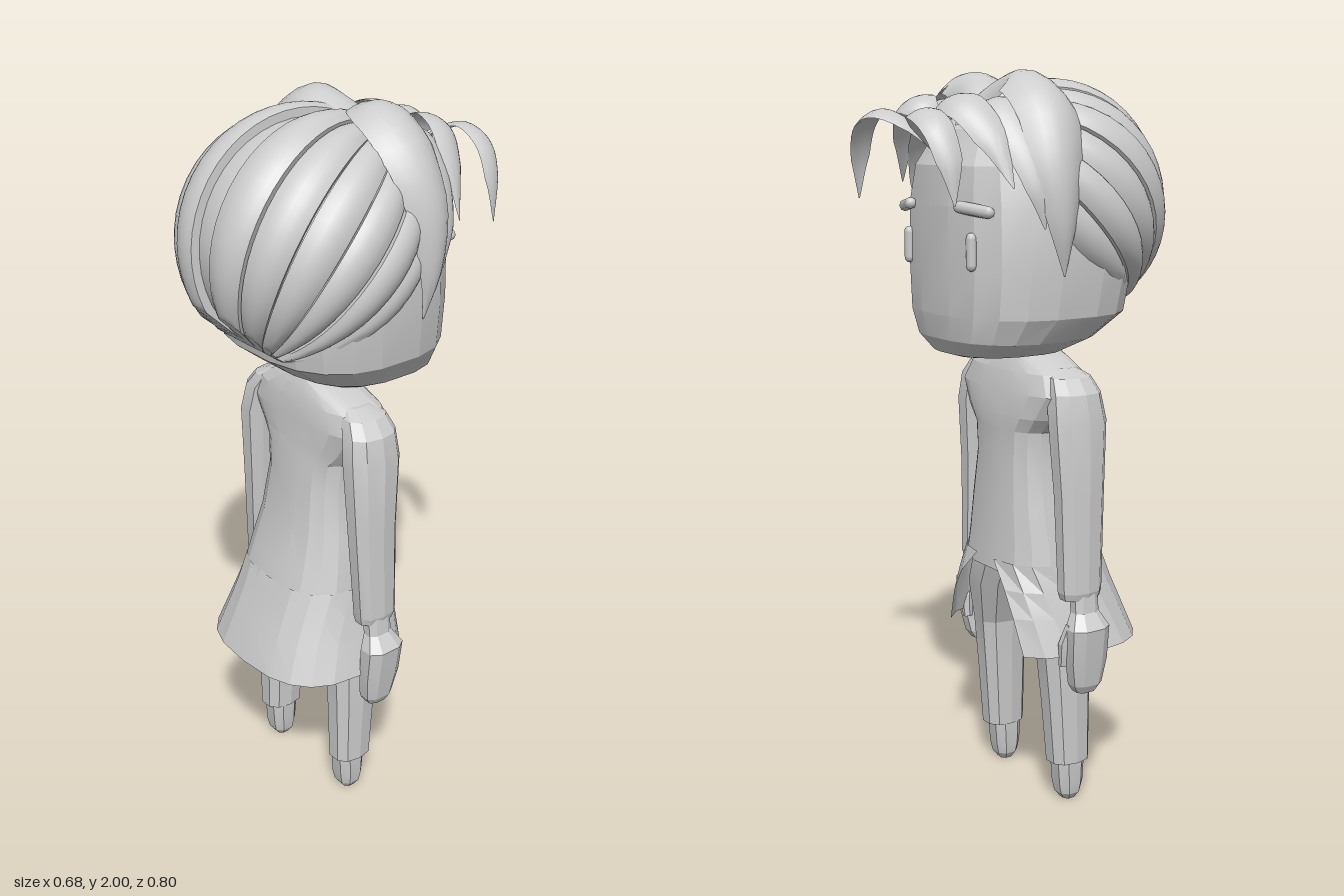
import * as THREE from 'three';
import { toCreasedNormals } from 'three/addons/utils/BufferGeometryUtils.js';

const V = (x, y, z) => new THREE.Vector3(x, y, z);

// Surface through a list of cross-sections; closed rings are capped
function loft(rings, { closed = true, crease = 0.25 } = {}) {
  const n = rings[0].length, pos = [], idx = [];
  rings.forEach(r => r.forEach(p => pos.push(p.x, p.y, p.z)));
  for (let i = 0; i < rings.length - 1; i++) {
    for (let j = 0; j < (closed ? n : n - 1); j++) {
      const a = i * n + j, b = i * n + (j + 1) % n;
      idx.push(a, b, a + n, b, b + n, a + n);
    }
  }
  if (closed) {
    const last = (rings.length - 1) * n;
    for (let j = 1; j < n - 1; j++) {
      idx.push(0, j + 1, j, last, last + j, last + j + 1);
    }
  }
  const g = new THREE.BufferGeometry();
  g.setAttribute('position', new THREE.Float32BufferAttribute(pos, 3));
  g.setIndex(idx);
  return toCreasedNormals(g, crease);
}

// Horizontal rounded ring, angle 0 at the face side (-z); gap leaves it open there
function ring([y, cx, rx, zf, zb], n, p = 2, gap = null) {
  const out = [], zc = (zf + zb) / 2, rz = (zb - zf) / 2;
  const pw = v => Math.sign(v) * Math.pow(Math.abs(v), 2 / p);
  for (let i = 0; i < n; i++) {
    const a = gap === null ? ((i + 0.5) / n) * Math.PI * 2
      : gap + (i / (n - 1)) * (Math.PI * 2 - 2 * gap);
    out.push(V(cx + rx * pw(Math.sin(a)), y, zc - rz * pw(Math.cos(a))));
  }
  return out;
}
const tower = (rows, n, p) => loft(rows.map(r => ring(r, n, p)));

// Curved, tapering lock of hair with a crescent cross-section
function lock(points, widths, centre, arch = 0.3) {
  const curve = new THREE.CatmullRomCurve3(points.map(p => V(...p)));
  const rings = [], steps = 20, c = V(...centre);
  for (let i = 0; i <= steps; i++) {
    const t = i / steps, p = curve.getPoint(t);
    const e = Math.min(t * (widths.length - 1), widths.length - 1.0001), k = Math.floor(e);
    const w = THREE.MathUtils.lerp(widths[k], widths[k + 1], e - k);
    const T = curve.getTangent(t);
    const O = p.clone().sub(c).addScaledVector(T, -p.clone().sub(c).dot(T)).normalize();
    const B = T.clone().cross(O);
    const at = (u, h) => p.clone().addScaledVector(B, w * u).addScaledVector(O, -w * h);
    const r = [];
    for (let u = -1; u <= 1.01; u += 0.25) r.push(at(u, arch * u * u));
    for (let u = 0.5; u >= -0.51; u -= 0.5) r.push(at(u, arch * (0.6 + 0.4 * u * u)));
    rings.push(r);
  }
  return loft(rings, { crease: 0.7 });
}

// Swept-back strand following a sphere from the parting to a fanned-out nape
function strand(angle, half, R, bulge, cols) {
  const S = V(0, 1.85, -0.18), E = V(0, 1.4, 0.255), c = V(0, 1.65, 0.075);
  const N = V(0, 0.695, 0.718), rings = [], steps = 20;
  for (let i = 0; i <= steps; i++) {
    const t = 0.5 - 0.5 * Math.cos(Math.PI * (0.06 + 0.9 * i / steps));
    const chord = S.clone().lerp(E, t).sub(c);
    const hit = (u, r) => {
      const a = angle + u * half, o = chord.clone();
      o.x += 0.085 * Math.sin(a) * t * t;
      const d = N.clone().multiplyScalar(Math.cos(a)).add(V(Math.sin(a), 0, 0));
      const b = o.dot(d), q = Math.max(0, b * b - o.lengthSq() + r * r);
      const p = o.addScaledVector(d, Math.max(0, -b + Math.sqrt(q)));
      return V(p.x * 1.01, p.y, p.z).add(c);
    };
    const r = [];
    for (let j = 0; j <= cols; j++) {
      const u = (j / cols) * 2 - 1;
      r.push(hit(u, R - bulge * u * u));
    }
    for (let j = cols; j >= 0; j--) r.push(hit((j / cols) * 2 - 1, R - 0.035));
    rings.push(r);
  }
  return loft(rings, { crease: 0.7 });
}

export function createModel() {
  const grey = new THREE.MeshStandardMaterial({ color: 0xcccccc, side: THREE.DoubleSide });
  grey.name = 'light grey';
  const model = new THREE.Group(), half = new THREE.Group();
  model.name = 'figure';
  half.name = 'leftSide';
  const add = (parent, name, geo) => {
    const m = new THREE.Mesh(geo, grey);
    m.name = name;
    parent.add(m);
    return m;
  };

  // Head and neck
  add(model, 'head', tower([
    [1.264, 0, 0.08, -0.19, 0.03], [1.274, 0, 0.165, -0.225, 0.09], [1.315, 0, 0.24, -0.25, 0.165],
    [1.38, 0, 0.283, -0.261, 0.25], [1.5, 0, 0.298, -0.262, 0.27], [1.66, 0, 0.293, -0.262, 0.275],
    [1.76, 0, 0.265, -0.25, 0.26], [1.85, 0, 0.2, -0.2, 0.2], [1.92, 0, 0.09, -0.08, 0.1]], 20, 2.6));
  add(model, 'neck', tower([[1.2, 0, 0.06, -0.03, 0.1], [1.31, 0, 0.055, -0.03, 0.09]], 10));

  // Swept-back hair: recessed base with raised strands
  add(model, 'hairBase', strand(0, 1.86, 0.302, 0, 40));
  for (let k = 0; k < 6; k++) {
    add(half, 'hairStrand', strand(0.25 + k * 0.3, 0.142, 0.336 - (k % 2) * 0.006, 0.012, 6));
  }

  // Front locks falling from the parting
  add(half, 'largeLock', lock(
    [[0, 1.9, -0.17], [0.05, 1.965, -0.11], [0.13, 1.997, -0.07], [0.25, 1.925, -0.065],
      [0.318, 1.78, -0.08], [0.328, 1.62, -0.075], [0.3, 1.49, -0.06]],
    [0.03, 0.07, 0.09, 0.09, 0.075, 0.042, 0.002], [0, 1.6, -0.05], 0.5));
  add(half, 'sideLock', lock(
    [[0.03, 1.88, -0.2], [0.15, 1.92, -0.17], [0.25, 1.83, -0.15], [0.3, 1.71, -0.135], [0.3, 1.61, -0.12]],
    [0.03, 0.06, 0.06, 0.035, 0.002], [0, 1.6, -0.05]));
  add(half, 'browLock', lock(
    [[0, 1.84, -0.24], [0.06, 1.92, -0.265], [0.14, 1.92, -0.255], [0.22, 1.84, -0.225], [0.275, 1.71, -0.195]],
    [0.015, 0.05, 0.055, 0.045, 0.002], [0.05, 1.6, -0.1]));
  add(half, 'curlLock', lock(
    [[0, 1.8, -0.25], [0.04, 1.87, -0.31], [0.11, 1.9, -0.355], [0.19, 1.865, -0.36],
      [0.235, 1.78, -0.352], [0.245, 1.67, -0.345]],
    [0.012, 0.035, 0.044, 0.042, 0.034, 0.002], [0.1, 1.68, -0.3]));

  // Eyes and eyebrows
  const eye = add(half, 'eye', new THREE.CapsuleGeometry(0.016, 0.065, 4, 10));
  eye.scale.z = 0.8;
  eye.position.set(0.155, 1.55, -0.245);
  const brow = add(half, 'eyebrow', new THREE.CapsuleGeometry(0.016, 0.09, 4, 8));
  brow.rotation.set(0, -0.35, Math.PI / 2 - 0.12, 'YXZ');
  brow.position.set(0.165, 1.655, -0.242);

  // Coat body with sloping shoulders, tails open at the front
  add(model, 'coatBody', tower([
    [1.278, 0, 0.06, -0.035, 0.1], [1.255, 0, 0.13, -0.045, 0.11], [1.22, 0, 0.21, -0.062, 0.12],
    [1.165, 0, 0.245, -0.075, 0.127], [1.1, 0, 0.195, -0.085, 0.13], [1.06, 0, 0.155, -0.085, 0.138],
    [0.98, 0, 0.148, -0.085, 0.145], [0.85, 0, 0.168, -0.095, 0.165],
    [0.75, 0, 0.188, -0.1, 0.195], [0.67, 0, 0.2, -0.11, 0.222]], 18, 2.7));
  const tails = [[[0.7, 0, 0.198, -0.11, 0.214], 0.12], [[0.63, 0, 0.213, -0.13, 0.24], 0.42],
    [[0.56, 0, 0.232, -0.145, 0.27], 0.6], [[0.46, 0, 0.262, -0.15, 0.31], 0.7]];
  add(model, 'coatTails', loft(tails.map(([r, gap]) => ring(r, 17, 2.7, gap)), { closed: false }));

  // Sleeve, hand and thumb
  add(half, 'sleeve', tower([
    [1.235, 0.15, 0.035, 0, 0.075], [1.215, 0.185, 0.05, -0.028, 0.098], [1.175, 0.21, 0.056, -0.04, 0.112],
    [1.1, 0.224, 0.057, -0.045, 0.122], [0.9, 0.232, 0.05, -0.032, 0.112],
    [0.64, 0.244, 0.042, -0.028, 0.1], [0.62, 0.244, 0.036, -0.022, 0.095]], 10, 2.3));
  add(half, 'hand', tower([
    [0.64, 0.256, 0.026, 0, 0.08], [0.585, 0.262, 0.026, 0, 0.08], [0.545, 0.279, 0.042, -0.025, 0.1],
    [0.45, 0.272, 0.037, -0.02, 0.1], [0.38, 0.263, 0.034, -0.005, 0.09],
    [0.358, 0.26, 0.025, 0.01, 0.075]], 8, 2.6));
  add(half, 'thumb', tower([
    [0.555, 0.262, 0.014, -0.02, 0.02], [0.5, 0.252, 0.017, -0.036, 0.005],
    [0.435, 0.245, 0.011, -0.03, 0]], 6));

  // Trouser leg and foot
  add(half, 'trouserLeg', tower([
    [0.72, 0.08, 0.08, -0.06, 0.12], [0.65, 0.093, 0.091, -0.075, 0.135], [0.58, 0.125, 0.085, -0.07, 0.14],
    [0.45, 0.158, 0.062, -0.035, 0.125], [0.3, 0.162, 0.056, -0.02, 0.12],
    [0.12, 0.165, 0.05, -0.005, 0.118]], 10, 2.4));
  add(half, 'foot', tower([
    [0.14, 0.161, 0.042, 0.01, 0.108], [0.05, 0.161, 0.041, 0.018, 0.102],
    [0.02, 0.161, 0.036, 0.025, 0.095], [0, 0.161, 0.022, 0.04, 0.08]], 8, 2.5));

  // Mirror the paired parts
  const other = half.clone();
  other.name = 'rightSide';
  other.scale.x = -1;
  model.add(half, other);
  return model;
}
